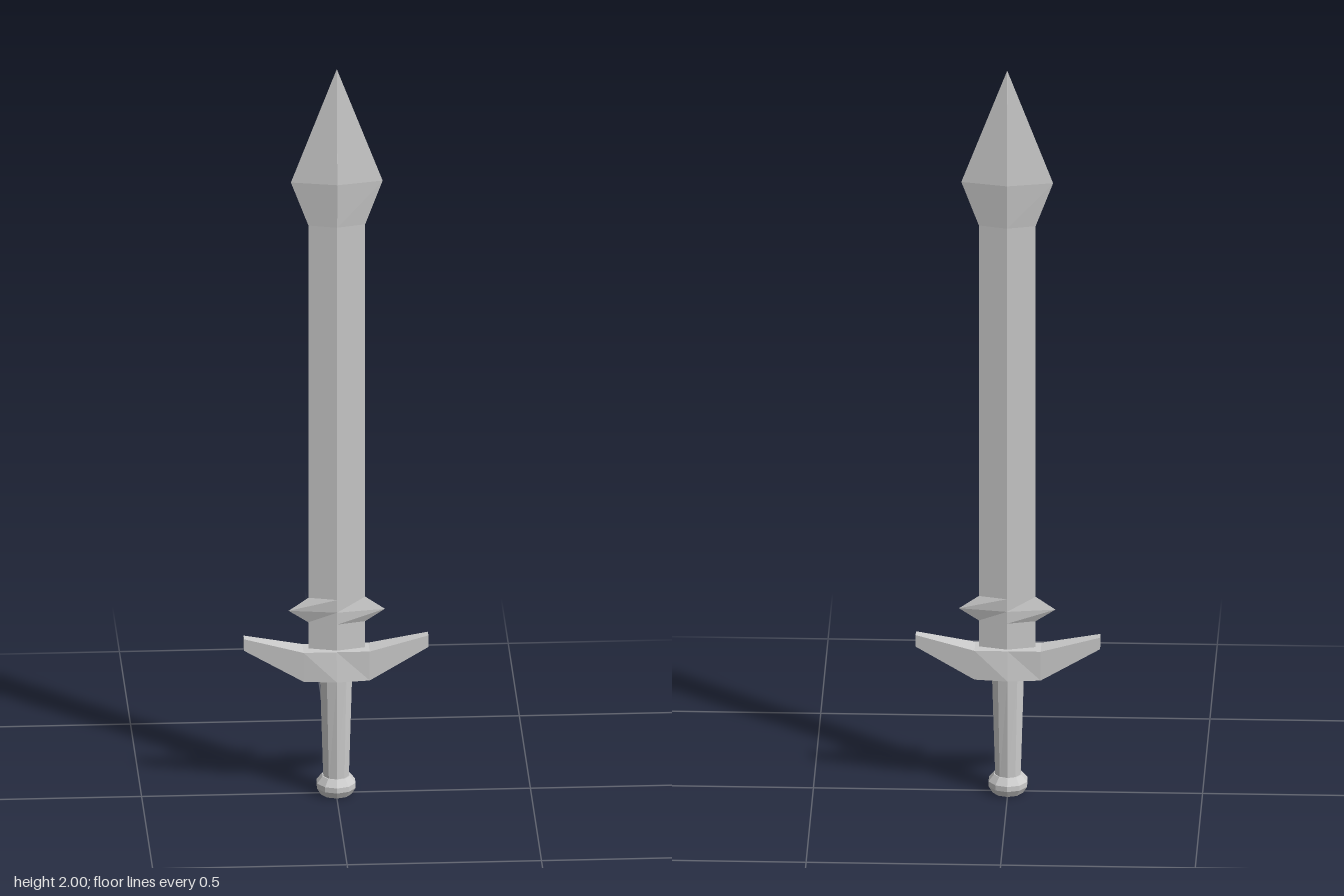
import * as THREE from 'three';

const material = new THREE.MeshStandardMaterial({ color: 0xcccccc, flatShading: true });

// Skins a list of equal-length rings (counter-clockwise about the direction of travel) and caps both ends.
function loft(rings) {
  const pos = [];
  const tri = (a, b, c) => pos.push(...a, ...b, ...c);
  const n = rings[0].length;
  for (let i = 0; i < rings.length - 1; i++) {
    for (let j = 0; j < n; j++) {
      const k = (j + 1) % n;
      const [a, b, c, d] = [rings[i][j], rings[i][k], rings[i + 1][k], rings[i + 1][j]];
      tri(a, b, c);
      tri(a, c, d);
    }
  }
  const first = rings[0], last = rings[rings.length - 1];
  for (let j = 1; j < n - 1; j++) {
    tri(first[0], first[j + 1], first[j]);
    tri(last[0], last[j], last[j + 1]);
  }
  const geometry = new THREE.BufferGeometry();
  geometry.setAttribute('position', new THREE.Float32BufferAttribute(pos, 3));
  geometry.computeVertexNormals();
  return geometry;
}

function addPart(group, name, geometry) {
  const mesh = new THREE.Mesh(geometry, material);
  mesh.name = name;
  group.add(mesh);
  return mesh;
}

// Ten-sided ring with a corner on the z axis
const SIDES = 10;
const roundRing = ([y, rx, rz]) => Array.from({ length: SIDES }, (_, i) => {
  const t = (i / SIDES) * Math.PI * 2;
  return [Math.sin(t) * rx, y, Math.cos(t) * rz];
});

export function createModel() {
  const sword = new THREE.Group();
  sword.name = 'sword';

  // Blade: diamond sections [y, half width, half thickness], with side spikes and a spear-shaped tip
  const bladeSections = [
    [0.38, 0.073, 0.02],
    [0.472, 0.073, 0.02],
    [0.505, 0.124, 0.02],
    [0.54, 0.073, 0.02],
    [1.57, 0.073, 0.02],
    [1.69, 0.118, 0.026],
    [2.0, 0.0005, 0.0005],
  ];
  const blade = addPart(sword, 'blade', loft(bladeSections.map(
    ([y, w, t]) => [[0, y, t], [w, y, 0], [0, y, -t], [-w, y, 0]])));
  blade.position.x = 0.002;

  // Crossguard: four-sided sections [x, bottom y, top y, bottom half depth, top half depth]
  const halfGuard = [
    [0.237, 0.402, 0.434, 0.013, 0.013],
    [0.085, 0.32, 0.4, 0.031, 0.031],
  ];
  const guardSections = [
    ...halfGuard.map(([x, ...rest]) => [-x, ...rest]),
    [0, 0.32, 0.4, 0.041, 0.031],
    ...halfGuard.slice().reverse(),
  ];
  addPart(sword, 'crossguard', loft(guardSections.map(
    ([x, yb, yt, zb, zt]) => [[x, yb, -zb], [x, yt, -zt], [x, yt, zt], [x, yb, zb]])));

  // Grip, widening towards the guard
  addPart(sword, 'grip', loft([[0.04, 0.034, 0.036], [0.33, 0.043, 0.037]].map(roundRing)));

  // Pommel with a bevelled rim
  addPart(sword, 'pommel', loft([
    [0, 0.041, 0.043],
    [0.018, 0.052, 0.054],
    [0.032, 0.052, 0.054],
    [0.05, 0.037, 0.039],
  ].map(roundRing)));

  return sword;
}
